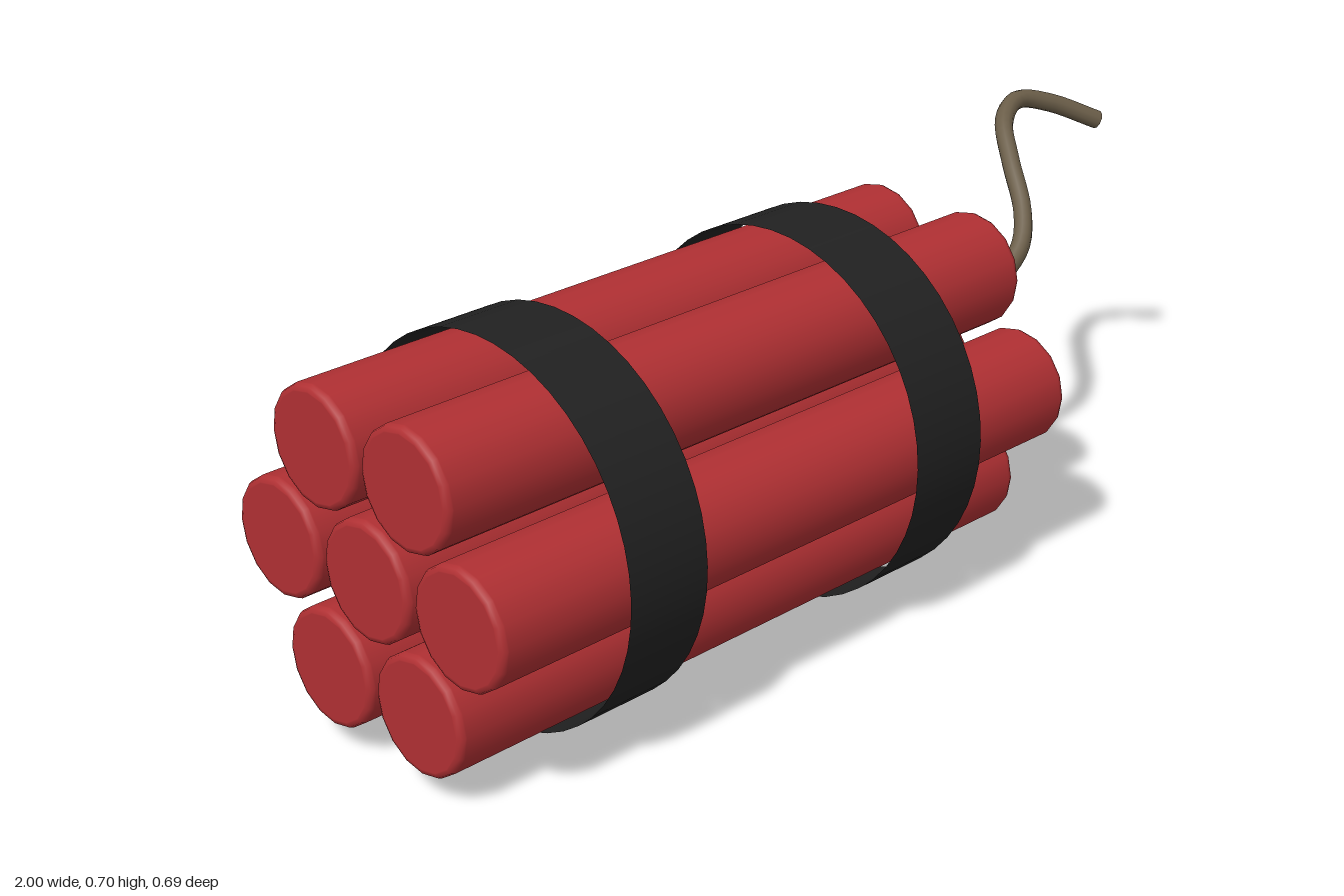
import * as THREE from 'three';

const CENTER_Y = 0.347;

function material(name, color, side = THREE.FrontSide) {
  const m = new THREE.MeshStandardMaterial({ color, side });
  m.name = name;
  return m;
}

// Capped stick along x with softly rounded rims
function stickGeometry(radius, length) {
  const end = [[0, 0], [radius - 0.012, 0], [radius - 0.01, 0], [radius - 0.003, 0.003], [radius, 0.01], [radius, 0.013]];
  const start = end.map(([r, y]) => new THREE.Vector2(r, y));
  const finish = end.map(([r, y]) => new THREE.Vector2(r, length - y)).reverse();
  return new THREE.LatheGeometry([...start, ...finish], 16).rotateZ(-Math.PI / 2);
}

export function createModel() {
  const model = new THREE.Group();
  model.name = 'stickBundle';
  const red = material('red paper', 0xb03033);
  const black = material('black tape', 0x212121, THREE.DoubleSide);
  const brown = material('fuse brown', 0x6b5e49, THREE.DoubleSide);

  const add = (name, geometry, mat, x, y, z) => {
    const mesh = new THREE.Mesh(geometry, mat);
    mesh.name = name;
    mesh.position.set(x, y, z);
    model.add(mesh);
  };

  // One centre stick ringed by six more
  const stick = stickGeometry(0.106, 1.325);
  add('centerStick', stick, red, -1, CENTER_Y, 0);
  for (let i = 0; i < 6; i++) {
    const a = (i * Math.PI) / 3;
    add(`outerStick${i + 1}`, stick, red, -1, CENTER_Y + 0.226 * Math.sin(a), 0.226 * Math.cos(a));
  }

  // Two thin bands of tape around the bundle
  const band = new THREE.CylinderGeometry(0.347, 0.347, 0.165, 48, 1, true).rotateZ(Math.PI / 2);
  add('rearBand', band, black, -0.672, CENTER_Y, 0);
  add('frontBand', band, black, -0.008, CENTER_Y, 0);

  // Curling fuse from the centre stick
  const path = new THREE.CatmullRomCurve3([
    [0.31, 0.342, 0], [0.45, 0.407, 0.008], [0.53, 0.446, 0.012], [0.59, 0.485, 0.003],
    [0.64, 0.535, -0.036], [0.69, 0.605, -0.11], [0.745, 0.66, -0.175],
    [0.82, 0.681, -0.204], [0.9, 0.661, -0.184], [0.992, 0.615, -0.134],
  ].map((p) => new THREE.Vector3(...p)));
  add('fuse', new THREE.TubeGeometry(path, 48, 0.0185, 10), brown, 0, 0, 0);

  return model;
}
